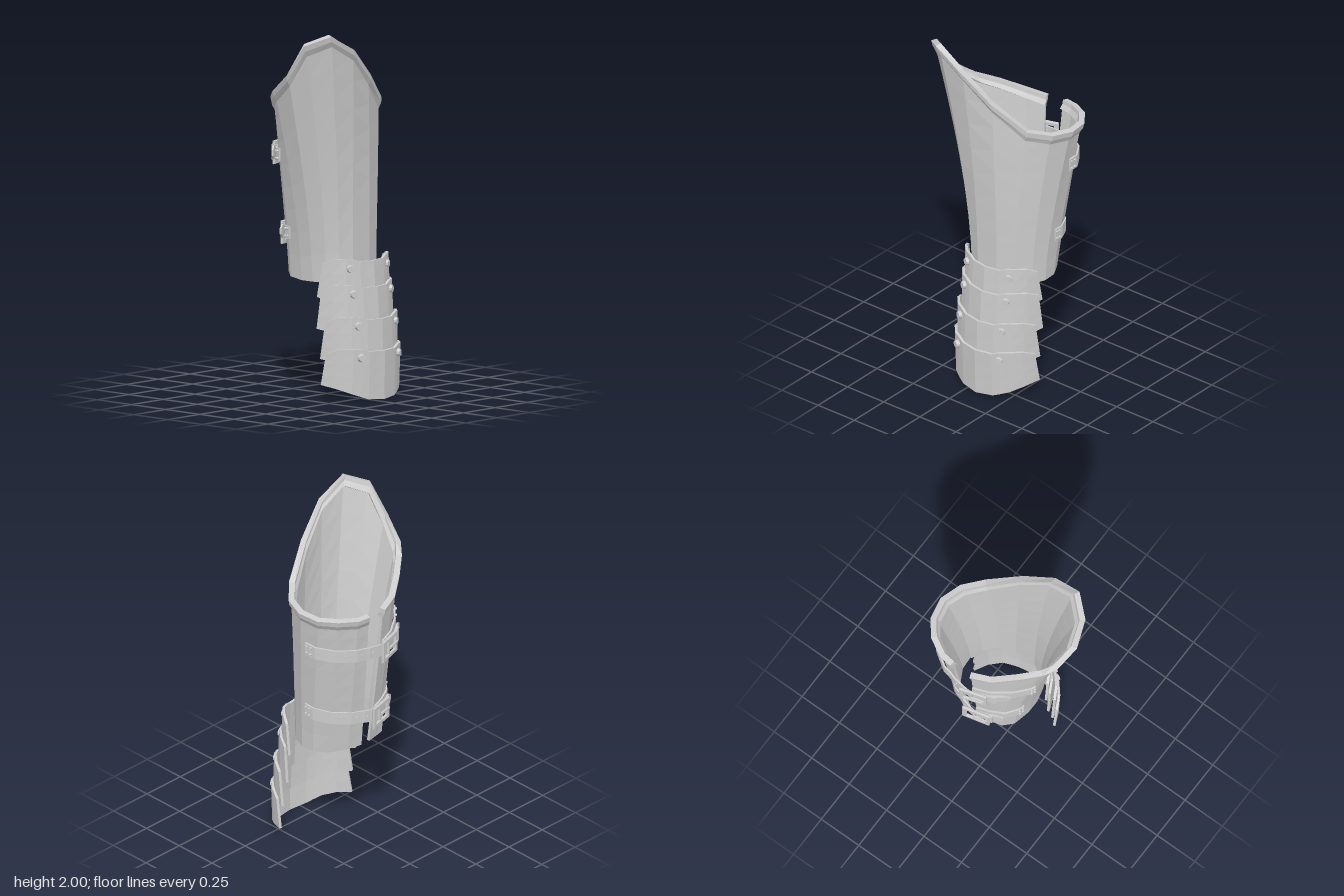
import * as THREE from 'three';

const V = (x, y, z) => new THREE.Vector3(x, y, z);
const material = new THREE.MeshStandardMaterial({ color: 0xcccccc, flatShading: true });

function add(parent, name, geometry) {
  const mesh = new THREE.Mesh(geometry, material);
  mesh.name = name;
  parent.add(mesh);
  return mesh;
}

// Closed plate of given thickness; point(i, j) is its outer face, i to the right, j upwards
function plate(nu, nv, thickness, point) {
  const outer = [], inner = [], index = [];
  const id = (i, j) => i * nv + j, total = nu * nv;
  for (let i = 0; i < nu; i++) for (let j = 0; j < nv; j++) outer.push(point(i, j));
  for (let i = 0; i < nu; i++) for (let j = 0; j < nv; j++) {
    const du = outer[id(Math.min(i + 1, nu - 1), j)].clone().sub(outer[id(Math.max(i - 1, 0), j)]);
    const dv = outer[id(i, Math.min(j + 1, nv - 1))].clone().sub(outer[id(i, Math.max(j - 1, 0))]);
    inner.push(outer[id(i, j)].clone().addScaledVector(du.cross(dv).normalize(), -thickness));
  }
  const quad = (a, b, c, d) => index.push(a, b, c, a, c, d);
  const edge = (a, b) => quad(b, a, a + total, b + total);
  for (let i = 0; i < nu - 1; i++) for (let j = 0; j < nv - 1; j++) {
    const q = [id(i, j), id(i + 1, j), id(i + 1, j + 1), id(i, j + 1)];
    quad(...q);
    quad(...q.map(k => k + total).reverse());
  }
  for (let i = 0; i < nu - 1; i++) { edge(id(i, 0), id(i + 1, 0)); edge(id(i + 1, nv - 1), id(i, nv - 1)); }
  for (let j = 0; j < nv - 1; j++) { edge(id(nu - 1, j), id(nu - 1, j + 1)); edge(id(0, j + 1), id(0, j)); }
  const g = new THREE.BufferGeometry();
  g.setAttribute('position', new THREE.Float32BufferAttribute([...outer, ...inner].flatMap(p => [p.x, p.y, p.z]), 3));
  g.setIndex(index);
  const flat = g.toNonIndexed();
  flat.computeVertexNormals();
  return flat;
}

// Shell columns around the arm: bottom x, z; rim x, y, z; flare exponent
const COLUMNS = [
  [.03, -.22, .012, 1.53, -.325, 1], [-.03, -.205, -.1, 1.55, -.285, 1], [-.1, -.185, -.22, 1.6, -.2, 1.2],
  [-.145, -.13, -.32, 1.64, -.115, 1.4], [-.165, -.03, -.37, 1.68, -.055, 1.5], [-.165, .05, -.405, 1.78, .08, 1.5],
  [-.145, .13, -.38, 1.95, .19, 1.6], [-.1, .185, -.27, 2, .285, 1.6], [-.03, .22, -.1, 1.91, .297, 1.9],
  [.1, .22, .08, 1.75, .25, 1.8], [.19, .185, .26, 1.6, .16, 1.6], [.255, .11, .36, 1.57, .06, 1.6],
  [.285, .035, .402, 1.56, -.06, 1.5], [.28, -.045, .38, 1.55, -.18, 1.3], [.24, -.12, .31, 1.55, -.27, 1.1],
  [.16, -.19, .21, 1.54, -.325, 1], [.088, -.22, .135, 1.54, -.335, 1],
];
const COUNT = COLUMNS.length;
const bottomY = c => .635 - Math.min(0, c[1] + .1) * .28;

function columnPoint(c, v) {
  const f = Math.pow(v, c[5]);
  const x = c[0] + (c[2] - c[0]) * f, z = c[1] + (c[4] - c[1]) * f;
  return V(x, bottomY(c) + (c[3] - bottomY(c)) * v, z);
}

// Moves a point away from the arm's axis
function outward(p, d) {
  const r = V(p.x - .04, 0, p.z).normalize();
  return p.addScaledVector(r, d);
}

// Point on the shell at column position u and height y; it runs on across the slit
function shellAt(u, y) {
  const pick = k => {
    const c = COLUMNS[((k % COUNT) + COUNT) % COUNT];
    const p = columnPoint(c, (y - bottomY(c)) / (c[3] - bottomY(c)));
    p.y = y;
    return p;
  };
  const k = Math.floor(u);
  return pick(k).lerp(pick(k + 1), u - k);
}

function shellNormal(u, y) {
  const t = shellAt(u + .3, y).sub(shellAt(u - .3, y));
  return V(-t.z, 0, t.x).normalize();
}

const shellOff = (u, y, d) => shellAt(u, y).addScaledVector(shellNormal(u, y), d);

function rivet(parent, name, p, n, r, depth) {
  const g = new THREE.CylinderGeometry(r * .75, r, depth, 10).rotateX(Math.PI / 2);
  const m = add(parent, name, g);
  m.position.copy(p);
  m.lookAt(p.clone().add(n));
}

function rectangle(Type, w, h) {
  const s = new Type();
  s.moveTo(-w, -h).lineTo(w, -h).lineTo(w, h).lineTo(-w, h).closePath();
  return s;
}

function buildStrap(y0) {
  const strap = new THREE.Group();
  strap.name = 'strap';
  const height = u => y0 + .009 * Math.abs(u - COUNT);
  const band = (name, u0, u1, half, offset, taper) => {
    const n = Math.round((u1 - u0) * 10) + 1;
    add(strap, name, plate(n, 2, .01, (i, j) => {
      const u = u0 + (u1 - u0) * i / (n - 1), y = height(u);
      const h = half * (taper ? Math.min(1, .45 + (u1 - u) * 2) : 1);
      const p = shellOff(u, y, offset(u));
      p.y += j ? h : -h;
      return p;
    }));
  };
  const rise = u => .013 + .022 * THREE.MathUtils.smoothstep(u, 15.6, 17);
  // Long strap from the left side over the slit, and the short strap holding the buckle
  band('longStrap', 12.4, 18.9, .036, rise, true);
  band('buckleStrap', 17.05, 20.3, .036, () => .013, false);

  // Rivets at both fixed ends, eyelets along the long strap
  for (const u of [12.5, 12.75, 20.0, 20.2]) for (const s of [-1, 1]) {
    const p = shellOff(u, height(u), .015);
    p.y += s * .02;
    rivet(strap, 'strapRivet', p, shellNormal(u, height(u)), .008, .012);
  }
  for (const u of [14.5, 15.4, 16.2, 18.2])
    rivet(strap, 'strapEyelet', shellOff(u, height(u), rise(u)), shellNormal(u, height(u)), .009, .006);

  // Buckle frame, prong and keeper
  const buckle = new THREE.Group();
  buckle.name = 'buckle';
  const frame = rectangle(THREE.Shape, .075, .06);
  frame.holes.push(rectangle(THREE.Path, .057, .042));
  add(buckle, 'buckleFrame', new THREE.ExtrudeGeometry(frame, {
    depth: .008, bevelEnabled: true, bevelSize: .004, bevelThickness: .004, bevelSegments: 1,
  }));
  add(buckle, 'buckleBar', new THREE.BoxGeometry(.014, .11, .012)).position.set(-.01, 0, .004);
  add(buckle, 'buckleProng', new THREE.BoxGeometry(.08, .012, .01)).position.set(.03, 0, .014);
  const at = shellOff(17.2, y0, .038);
  buckle.position.copy(at);
  buckle.lookAt(at.clone().add(shellNormal(17.2, y0)));
  strap.add(buckle);
  band('strapKeeper', 18.1, 18.3, .042, () => .045, false);
  return strap;
}

// Lames: half width, front z, side depth, each at top and bottom; top y, side bottom y, rivet y
const LAMES = [
  [.245, .255, .283, .303, .15, .2, .77, .56, .715],
  [.255, .265, .31, .33, .175, .22, .63, .39, .58],
  [.262, .27, .345, .355, .175, .215, .46, .23, .41],
  [.268, .275, .367, .36, .185, .21, .29, .09, .24],
];
// Half cross-section of a lame: side position, depth, top wave, bottom curve
const ARC = [[0, 0, -.02, -.085], [.37, .1, -.018, -.077], [.52, .19, -.004, -.062],
  [.68, .31, 0, -.045], [.87, .63, -.003, -.018], [1, 1, -.03, 0]];

function buildLame([w1, w0, z1, z0, d1, d0, top, bottom, rivetY]) {
  const lame = new THREE.Group();
  lame.name = 'wristLame';
  const n = ARC.length - 1, rows = 4;
  add(lame, 'lamePlate', plate(2 * n + 1, rows, .014, (i, j) => {
    const a = ARC[Math.abs(i - n)], side = Math.sign(i - n), v = j / (rows - 1);
    const mix = THREE.MathUtils.lerp;
    return V(.066 + side * a[0] * mix(w0, w1, v), mix(bottom + a[3], top + a[2], v),
      mix(z0, z1, v) - a[1] * mix(d0, d1, v));
  }));
  for (const s of [-1, 1])
    rivet(lame, 'lameRivet', V(.062 + s * .143, rivetY, z1 - .034), V(s * .45, 0, 1), .025, .026);
  return lame;
}

export function createModel() {
  const model = new THREE.Group();
  model.name = 'forearmGuard';

  // Flared shell, open along the back
  const rows = 9;
  add(model, 'forearmShell', plate(COUNT, rows, .014, (i, j) => {
    const v = j / (rows - 1), p = columnPoint(COLUMNS[i], v * .985);
    return outward(p, -.016 * v * v * v);
  }));

  // Thickened rolled rim
  const rim = [[-.06, -.014], [-.03, -.001], [0, 0]];
  add(model, 'rolledRim', plate(COUNT, rim.length, .033, (i, j) => {
    const c = COLUMNS[i];
    return outward(columnPoint(c, 1 + rim[j][0] / (c[3] - bottomY(c))), rim[j][1]);
  }));

  for (const y of [1.29, .86]) model.add(buildStrap(y));
  for (const lame of LAMES) model.add(buildLame(lame));
  return model;
}
